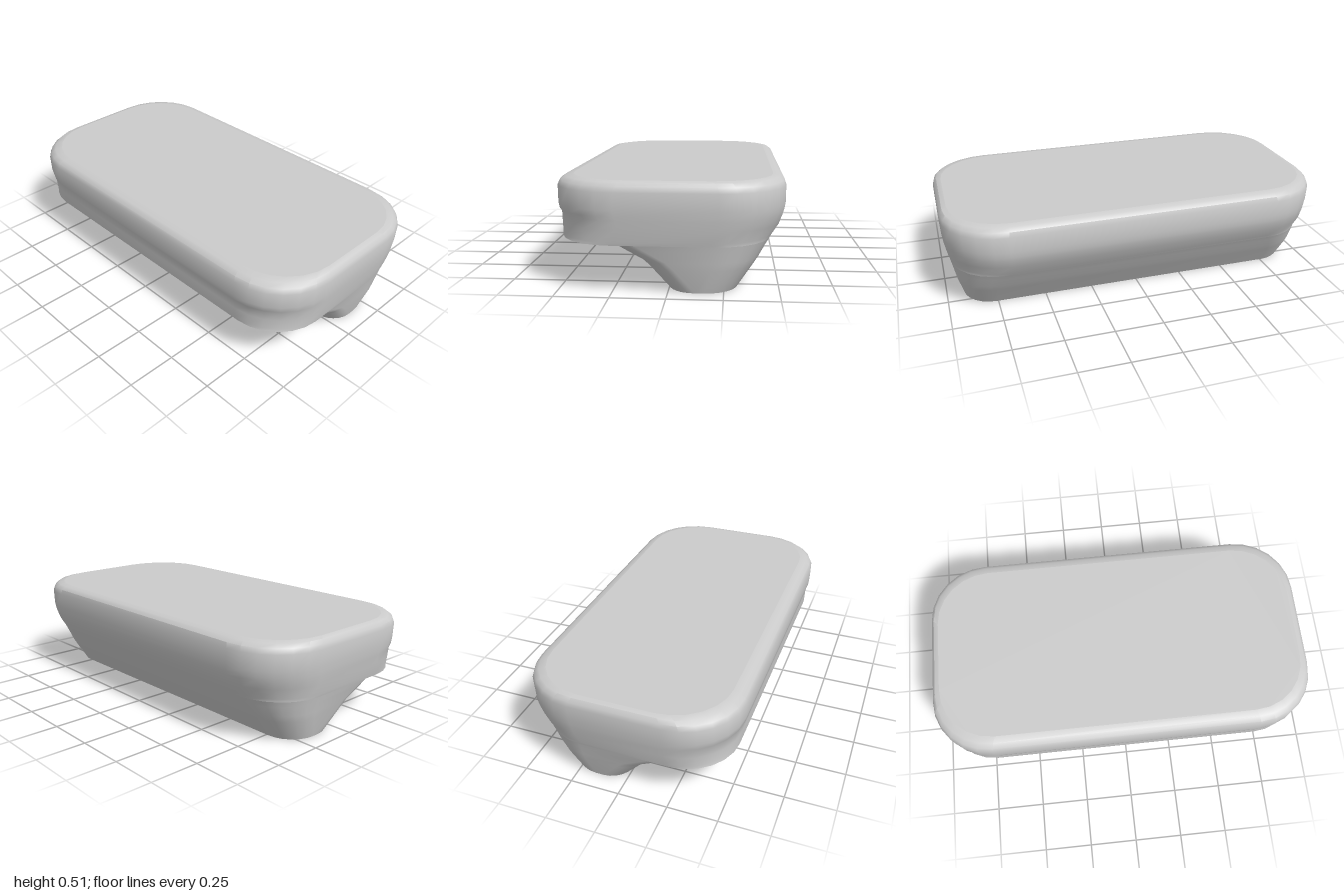
import * as THREE from 'three';
import { toCreasedNormals } from 'three/addons/utils/BufferGeometryUtils.js';

const material = new THREE.MeshStandardMaterial({ color: 0xcccccc });

// Quarter-round corner in plan, counter-clockwise seen from above
function corner(cx, cz, r, startDeg, steps = 6) {
  const pts = [];
  for (let i = 0; i <= steps; i++) {
    const a = THREE.MathUtils.degToRad(startDeg + (90 * i) / steps);
    pts.push([cx + r * Math.cos(a), cz - r * Math.sin(a)]);
  }
  return pts;
}

// Rounded rectangle from back to front
function roundedRing([y, x, back, front, r]) {
  const pts = [
    ...corner(x - r, back + r, r, 0),
    ...corner(-x + r, back + r, r, 90),
    ...corner(-x + r, front - r, r, 180),
    ...corner(x - r, front - r, r, 270),
  ];
  return { y, pts };
}

// C-shaped ring: straight back, two ends that reach forward, recessed middle
function footRing([y, x, back, front, rBack, rFront, tipX, recessX, recessZ]) {
  const half = [
    [recessX, recessZ],
    [tipX, front],
    ...corner(x - rFront, front - rFront, rFront, 270),
    ...corner(x - rBack, back + rBack, rBack, 0),
  ];
  const mirrored = half.map(([px, pz]) => [-px, pz]).reverse();
  return { y, pts: [...half, ...mirrored] };
}

// Flat face in plan, looking down
function underside({ y, pts }) {
  const shape = new THREE.Shape(pts.map(([x, z]) => new THREE.Vector2(x, z)));
  return new THREE.ShapeGeometry(shape).rotateX(Math.PI / 2).translate(0, y, 0);
}

// Flat face in plan, looking up
function topside({ y, pts }) {
  const shape = new THREE.Shape(pts.map(([x, z]) => new THREE.Vector2(x, -z)));
  return new THREE.ShapeGeometry(shape).rotateX(-Math.PI / 2).translate(0, y, 0);
}

// Skin stacked rings, lowest first
function loft(rings, crease) {
  const n = rings[0].pts.length;
  const positions = [];
  const index = [];
  for (const { y, pts } of rings) for (const [x, z] of pts) positions.push(x, y, z);
  for (let k = 0; k < rings.length - 1; k++) {
    for (let i = 0; i < n; i++) {
      const a = k * n + i;
      const b = k * n + ((i + 1) % n);
      index.push(a, b, b + n, a, b + n, a + n);
    }
  }
  const geometry = new THREE.BufferGeometry();
  geometry.setAttribute('position', new THREE.Float32BufferAttribute(positions, 3));
  geometry.setIndex(index);
  return toCreasedNormals(geometry, crease);
}

function addMesh(group, name, geometry) {
  const mesh = new THREE.Mesh(geometry, material);
  mesh.name = name;
  group.add(mesh);
  return mesh;
}

export function createModel() {
  const group = new THREE.Group();
  group.name = 'roundedConsole';

  // Main slab: y, half width, back z, front z, corner radius
  const slab = [
    [0.23, 0.965, -0.46, 0.508, 0.26],
    [0.245, 0.97, -0.47, 0.511, 0.28],
    [0.3, 0.98, -0.505, 0.513, 0.29],
    [0.345, 0.988, -0.522, 0.515, 0.3],
    [0.362, 0.99, -0.526, 0.526, 0.3],
    [0.39, 0.993, -0.53, 0.53, 0.3],
    [0.47, 0.998, -0.53, 0.53, 0.3],
    [0.495, 0.992, -0.522, 0.52, 0.3],
    [0.512, 0.978, -0.5, 0.495, 0.29],
    [0.518, 0.955, -0.47, 0.46, 0.28],
  ].map(roundedRing);
  addMesh(group, 'slabWall', loft(slab, 0.6));
  addMesh(group, 'slabTop', topside(slab[slab.length - 1]));

  // Rear foot: y, half width, back z, front z, back and front radii,
  // inner tip x, recess x, recess z
  const foot = [
    [0.005, 0.91, -0.31, 0.0, 0.15, 0.12, 0.78, 0.71, -0.17],
    [0.115, 0.94, -0.385, 0.09, 0.19, 0.12, 0.73, 0.67, -0.17],
    [0.15, 0.947, -0.41, 0.125, 0.21, 0.12, 0.69, 0.65, -0.17],
    [0.2, 0.958, -0.44, 0.21, 0.24, 0.12, 0.6, 0.59, -0.17],
    [0.23, 0.965, -0.46, 0.26, 0.26, 0.12, 0.5, 0.48, -0.17],
  ].map(footRing);
  addMesh(group, 'rearFoot', loft(foot, 0.45));
  addMesh(group, 'footSole', underside(foot[0]));

  // Slab underside: front outline of the slab, closed along the foot's inner edge
  const footTop = foot[foot.length - 1].pts;
  const belly = [
    ...slab[0].pts.slice(14),
    ...footTop.slice(0, 9).reverse(),
    ...footTop.slice(-9).reverse(),
  ];
  addMesh(group, 'slabUnderside', underside({ y: 0.23, pts: belly }));

  // Small catch under the slab, in the middle of the recess
  const catchGeometry = new THREE.CylinderGeometry(0.04, 0.028, 0.025, 8);
  addMesh(group, 'catch', catchGeometry).position.set(0, 0.22, 0.1);

  return group;
}
